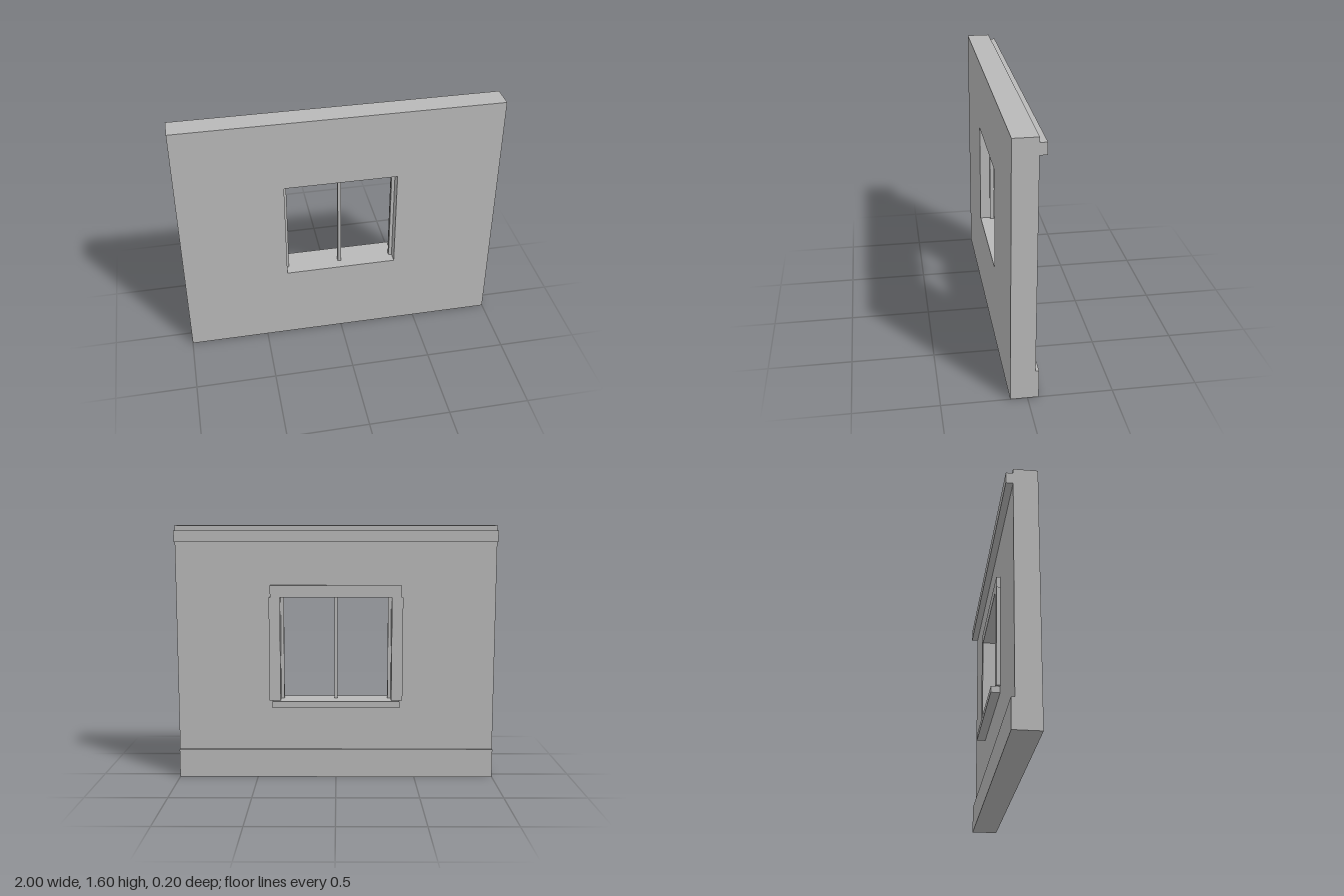
import * as THREE from 'three';

export function createModel() {
  const group = new THREE.Group();
  group.name = 'windowWall';
  const grey = new THREE.MeshStandardMaterial({ color: 0xb8b8b8 });
  grey.name = 'plainGrey';

  const back = -0.045; // rear face of the wall slab
  const front = 0.1;

  // Box given by its limits on each axis
  function block(name, x0, x1, y0, y1, z0, z1) {
    const mesh = new THREE.Mesh(new THREE.BoxGeometry(x1 - x0, y1 - y0, z1 - z0), grey);
    mesh.position.set((x0 + x1) / 2, (y0 + y1) / 2, (z0 + z1) / 2);
    mesh.name = name;
    group.add(mesh);
  }

  // Wall slab with the window opening
  const shape = new THREE.Shape();
  shape.moveTo(-1, 0).lineTo(1, 0).lineTo(1, 1.6).lineTo(-1, 1.6).closePath();
  const opening = new THREE.Path();
  opening.moveTo(-0.35, 0.5).lineTo(-0.35, 1.155).lineTo(0.35, 1.155).lineTo(0.35, 0.5).closePath();
  shape.holes.push(opening);
  const wall = new THREE.Mesh(
    new THREE.ExtrudeGeometry(shape, { depth: front - back, bevelEnabled: false }), grey);
  wall.position.z = back;
  wall.name = 'wall';
  group.add(wall);

  // Mouldings along the rear face
  block('baseboard', -1, 1, 0, 0.18, -0.065, back);
  block('crownMoulding', -1, 1, 1.5, 1.57, -0.087, back);

  // Window casing on the rear face
  block('windowSill', -0.4, 0.4, 0.46, 0.5, -0.1, back);
  block('windowHeader', -0.412, 0.412, 1.155, 1.23, -0.07, back);
  block('leftCasing', 0.35, 0.42, 0.5, 1.155, -0.07, back);
  block('rightCasing', -0.42, -0.35, 0.5, 1.155, -0.07, back);

  // Upright bars inside the opening
  block('leftStile', 0.33, 0.35, 0.5, 1.155, 0.012, 0.037);
  block('centreMullion', -0.01, 0.01, 0.5, 1.155, 0.012, 0.037);
  block('rightStile', -0.35, -0.33, 0.5, 1.155, 0.012, 0.037);

  return group;
}
